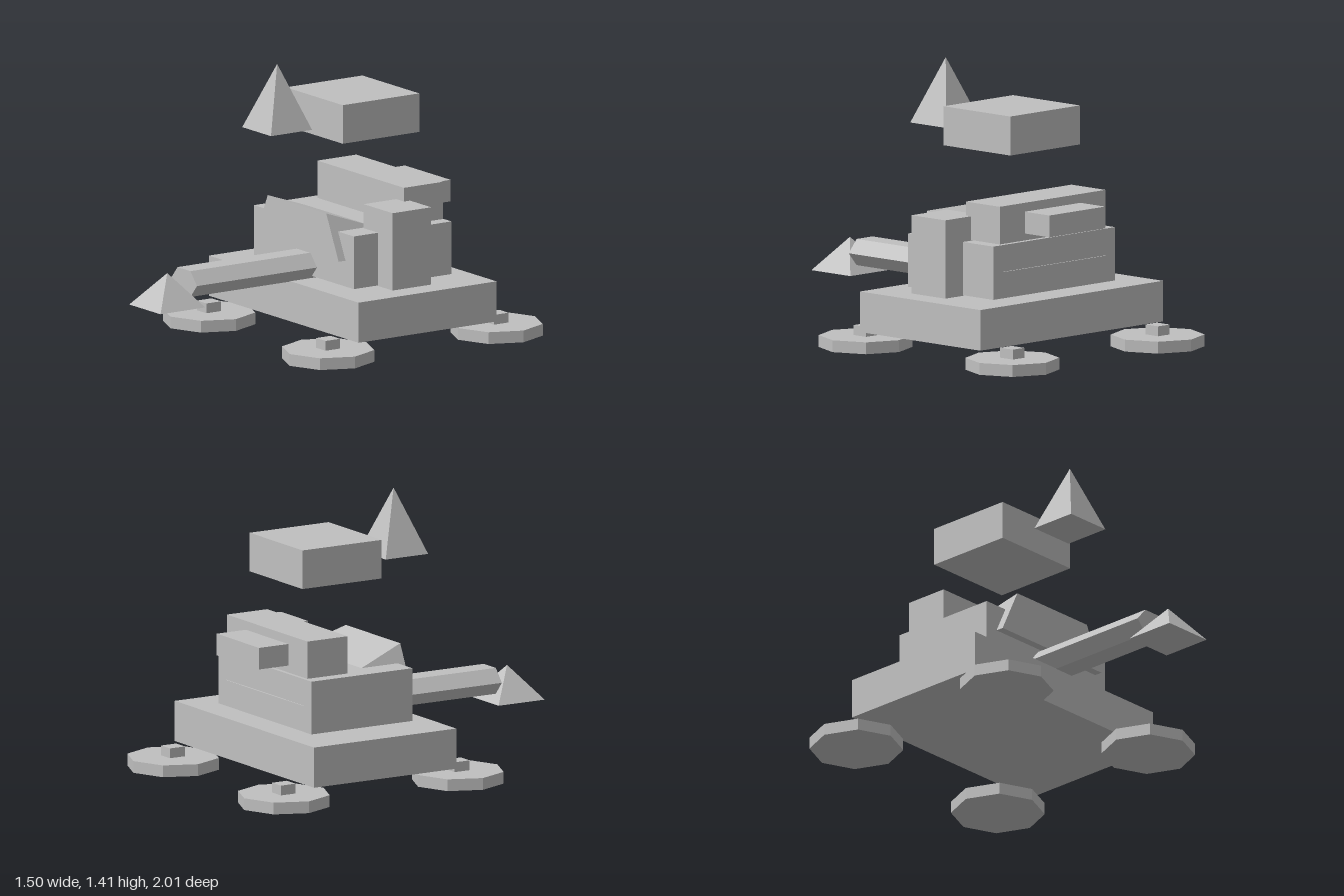
import * as THREE from 'three';

export function createModel() {
  const model = new THREE.Group();
  model.name = 'vehicle';
  const grey = new THREE.MeshStandardMaterial({ color: 0xc0c0c0 });
  grey.name = 'plain grey';

  const add = (name, geometry) => {
    const mesh = new THREE.Mesh(geometry, grey);
    mesh.name = name;
    model.add(mesh);
    return mesh;
  };
  // Box given by its limits on each axis
  const box = (name, x0, x1, y0, y1, z0, z1) =>
    add(name, new THREE.BoxGeometry(x1 - x0, y1 - y0, z1 - z0))
      .position.set((x0 + x1) / 2, (y0 + y1) / 2, (z0 + z1) / 2);
  // Square pyramid with sides parallel to x and z
  const pyramid = (name, half, y0, y1, z) => {
    const g = new THREE.ConeGeometry(half * Math.SQRT2, y1 - y0, 4).rotateY(Math.PI / 4).toNonIndexed();
    g.computeVertexNormals();
    add(name, g).position.set(0, (y0 + y1) / 2, z);
  };
  // Faceted prism standing on y
  const prism = (radius, height, sides) => {
    const g = new THREE.CylinderGeometry(radius, radius, height, sides).toNonIndexed();
    g.computeVertexNormals();
    return g;
  };

  // Hull, body and the boxes stacked on it
  box('hull', -0.65, 0.65, 0.10, 0.305, -0.677, 0.163);
  box('body', -0.433, 0.433, 0.318, 0.587, -0.555, 0.04);
  box('sideBox', 0.308, 0.559, 0.315, 0.71, -0.343, -0.108);
  box('rearCabin', -0.377, 0.375, 0.59, 0.78, -0.543, -0.306);
  box('rearBox', -0.199, 0.197, 0.625, 0.735, -0.715, -0.543);

  // Floating block and spike
  box('floatingBlock', -0.248, 0.246, 1.018, 1.215, -0.49, -0.024);
  pyramid('floatingSpike', 0.125, 1.08, 1.41, 0.203);

  // Front shield: trapezoid extruded backwards, its top sloping down to the base
  const yLow = 0.45, yHigh = 0.677, zFront = 0.082, zBack = -0.558;
  const shape = new THREE.Shape([
    new THREE.Vector2(-0.361, yLow), new THREE.Vector2(0.361, yLow),
    new THREE.Vector2(0.254, yHigh), new THREE.Vector2(-0.254, yHigh),
  ]);
  const shield = new THREE.ExtrudeGeometry(shape, { depth: zFront - zBack, bevelEnabled: false });
  shield.translate(0, 0, zBack);
  const p = shield.attributes.position;
  for (let i = 0; i < p.count; i++) {
    if (p.getZ(i) < 0 && p.getY(i) > 0.6) {
      p.setY(i, yLow + 0.001);
      p.setX(i, Math.sign(p.getX(i)) * 0.3605);
    }
  }
  shield.computeVertexNormals();
  add('frontShield', shield);

  // Flattened six-sided barrel and its pyramid tip
  const barrel = prism(0.113, 0.77, 6).rotateY(Math.PI / 2).rotateX(Math.PI / 2);
  // Put corners on the left and right, flats on top and bottom
  barrel.computeBoundingBox();
  const size = barrel.boundingBox.getSize(new THREE.Vector3());
  if (size.y > size.x) barrel.rotateZ(Math.PI / 2);
  barrel.scale(1, 0.066 / 0.0979, 1);
  barrel.computeVertexNormals();
  add('barrel', barrel).position.set(0, 0.369, 0.385);
  pyramid('barrelTip', 0.136, 0.26, 0.428, 0.872);

  // Four eight-sided feet with small square hubs
  for (const x of [-0.517, 0.517]) {
    for (const z of [-0.77, 0.255]) {
      add('foot', prism(0.234, 0.06, 8)).position.set(x, 0.03, z);
      box('footHub', x - 0.041, x + 0.041, 0.06, 0.11, z - 0.044, z + 0.044);
    }
  }
  return model;
}
